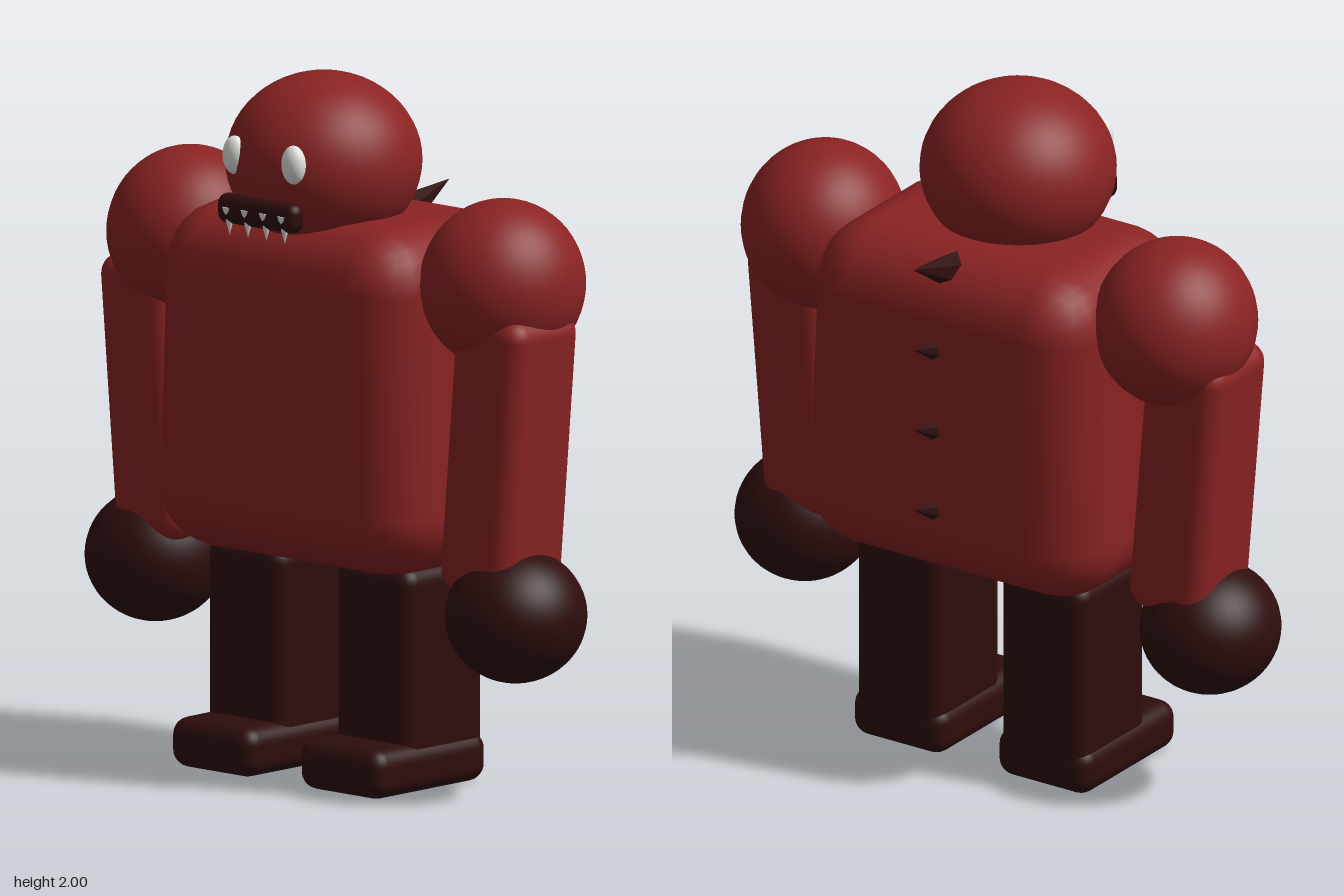
import * as THREE from 'three';
import { RoundedBoxGeometry } from 'three/addons/geometries/RoundedBoxGeometry.js';

export function createModel() {
  const model = new THREE.Group();
  model.name = 'hornedBrute';

  const material = (name, color) => {
    const m = new THREE.MeshStandardMaterial({ color });
    m.name = name;
    return m;
  };
  const red = material('red skin', 0x8b2323);
  const dark = material('dark maroon', 0x2f0d0d);
  const white = material('bone white', 0xe4e4e0);
  const spikeDark = dark.clone();
  spikeDark.name = 'dark maroon faceted';
  spikeDark.flatShading = true;

  const add = (name, geometry, mat, x, y, z) => {
    const mesh = new THREE.Mesh(geometry, mat);
    mesh.name = name;
    mesh.position.set(x, y, z);
    model.add(mesh);
    return mesh;
  };
  const ellipsoid = (rx, ry, rz) => new THREE.SphereGeometry(1, 40, 28).scale(rx, ry, rz);
  const box = (w, h, d, r, segments = 4) => new RoundedBoxGeometry(w, h, d, segments, r);

  // Torso, slightly narrower towards the top
  const torso = box(0.97, 0.99, 0.67, 0.18, 3);
  const p = torso.attributes.position;
  for (let i = 0; i < p.count; i++) p.setX(i, p.getX(i) * (1 - 0.09 * p.getY(i)));
  add('torso', torso, red, 0, 1.115, 0.022);

  // Head and mouth
  add('head', ellipsoid(0.276, 0.25, 0.276), red, 0, 1.75, 0.112);
  add('mouth', box(0.3, 0.085, 0.06, 0.029), dark, 0, 1.633, 0.372);

  // Teeth hanging from the mouth
  for (let i = 0; i < 4; i++) {
    const tooth = new THREE.ConeGeometry(0.022, 0.08, 12).rotateX(Math.PI);
    add('tooth', tooth, white, -0.105 + i * 0.07, 1.6, 0.386);
  }

  // Paired parts
  for (const [side, s] of [['left', 1], ['right', -1]]) {
    add(side + 'Eye', ellipsoid(0.038, 0.055, 0.03), white, s * 0.112, 1.782, 0.357);
    add(side + 'Shoulder', ellipsoid(0.228, 0.24, 0.24), red, s * 0.596, 1.46, 0.02);
    const arm = add(side + 'Arm', box(0.258, 0.81, 0.285, 0.06), red, s * 0.648, 0.995, 0.052);
    arm.rotation.z = -s * 0.085;
    add(side + 'Hand', ellipsoid(0.197, 0.19, 0.203), dark, s * 0.686, 0.534, 0.062);
    add(side + 'Leg', box(0.29, 0.6, 0.33, 0.05), dark, s * 0.245, 0.34, 0.025);
    add(side + 'Foot', box(0.316, 0.142, 0.468, 0.05), dark, s * 0.245, 0.071, 0.093);
  }

  // Row of spikes down the spine, tilted upwards
  const tilt = 0.35, length = 0.24;
  for (let i = 0; i < 4; i++) {
    const spike = new THREE.ConeGeometry(0.062, length, 6).translate(0, -length / 2, 0);
    const mesh = add('backSpike', spike, spikeDark, 0, 1.623 - i * 0.245, -0.405);
    mesh.rotation.x = -Math.PI / 2 + tilt;
  }

  return model;
}
